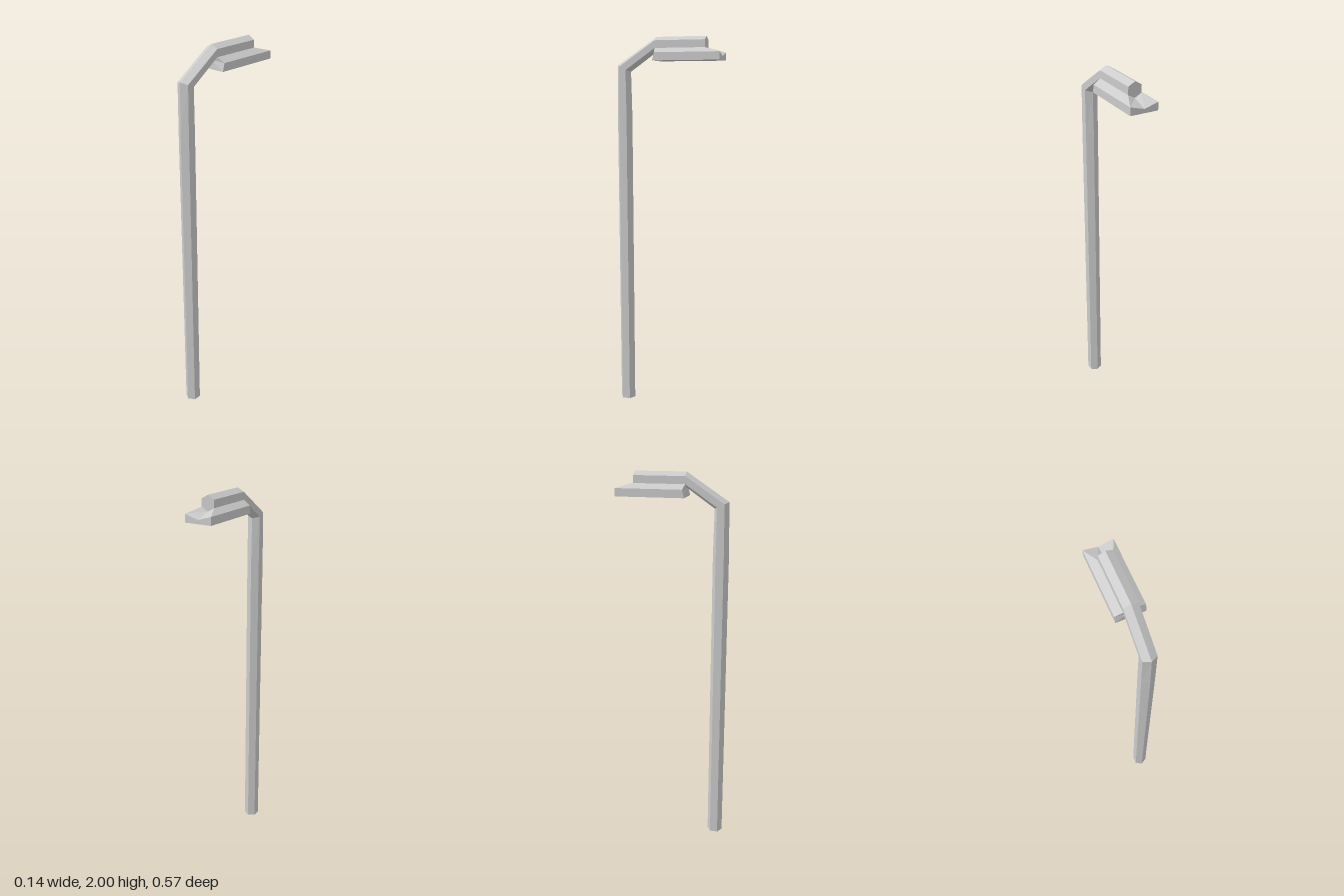
import * as THREE from 'three';

const material = new THREE.MeshStandardMaterial({
  color: 0xcccccc, flatShading: true, side: THREE.DoubleSide,
});

// Joins matching cross-sections (lists of [x, y, z]) into a faceted skin.
// Caps fan out from the first point of the section.
function loft(name, sections, capStart, capEnd) {
  const pos = [];
  const tri = (a, b, c) => pos.push(...a, ...b, ...c);
  const n = sections[0].length;
  for (let i = 0; i < sections.length - 1; i++) {
    const s = sections[i], t = sections[i + 1];
    for (let j = 0; j < n; j++) {
      const k = (j + 1) % n;
      tri(s[j], t[j], s[k]);
      tri(s[k], t[j], t[k]);
    }
  }
  const first = sections[0], last = sections[sections.length - 1];
  for (let j = 1; j < n - 1; j++) {
    if (capStart) tri(first[0], first[j], first[j + 1]);
    if (capEnd) tri(last[0], last[j + 1], last[j]);
  }
  const geometry = new THREE.BufferGeometry();
  geometry.setAttribute('position', new THREE.Float32BufferAttribute(pos, 3));
  geometry.computeVertexNormals();
  const mesh = new THREE.Mesh(geometry, material);
  mesh.name = name;
  return mesh;
}

// Hexagon round (y, z); (oy, oz) points to its outer corner.
function hexagon(y, z, oy, oz) {
  return Array.from({ length: 6 }, (_, i) => {
    const a = (i * Math.PI) / 3;
    return [-Math.sin(a) * 0.04, y + Math.cos(a) * oy, z + Math.cos(a) * oz];
  });
}

// Lamp section with a notch that cradles the arm.
function lampSection(z, zEdge, zBottom, notchY, ridgeX, ridgeY) {
  return [
    [0, notchY, z],
    [-ridgeX, ridgeY, z], [-0.072, 1.92, zEdge], [-0.072, 1.88, zBottom],
    [0.072, 1.88, zBottom], [0.072, 1.92, zEdge], [ridgeX, ridgeY, z],
  ];
}

export function createModel() {
  const model = new THREE.Group();
  model.name = 'streetLamp';

  // Upright pole bending over into the horizontal arm
  model.add(loft('poleAndArm', [
    hexagon(0, 0.243, 0, 0.041),
    hexagon(1.6, 0.243, 0, 0.041),
    hexagon(1.843, 0.243, 0.017, 0.036),
    hexagon(1.962, 0.065, 0.038, 0),
    hexagon(1.962, -0.2, 0.038, 0),
  ], false, true));

  // Lamp housing under the arm, flaring out at its far end
  model.add(loft('lampHousing', [
    lampSection(0.065, 0.057, 0.067, 1.924, 0.035, 1.943),
    lampSection(-0.2, -0.2, -0.2, 1.924, 0.035, 1.943),
    lampSection(-0.284, -0.284, -0.284, 1.9, 0.072, 1.92),
  ], true, true));

  return model;
}
